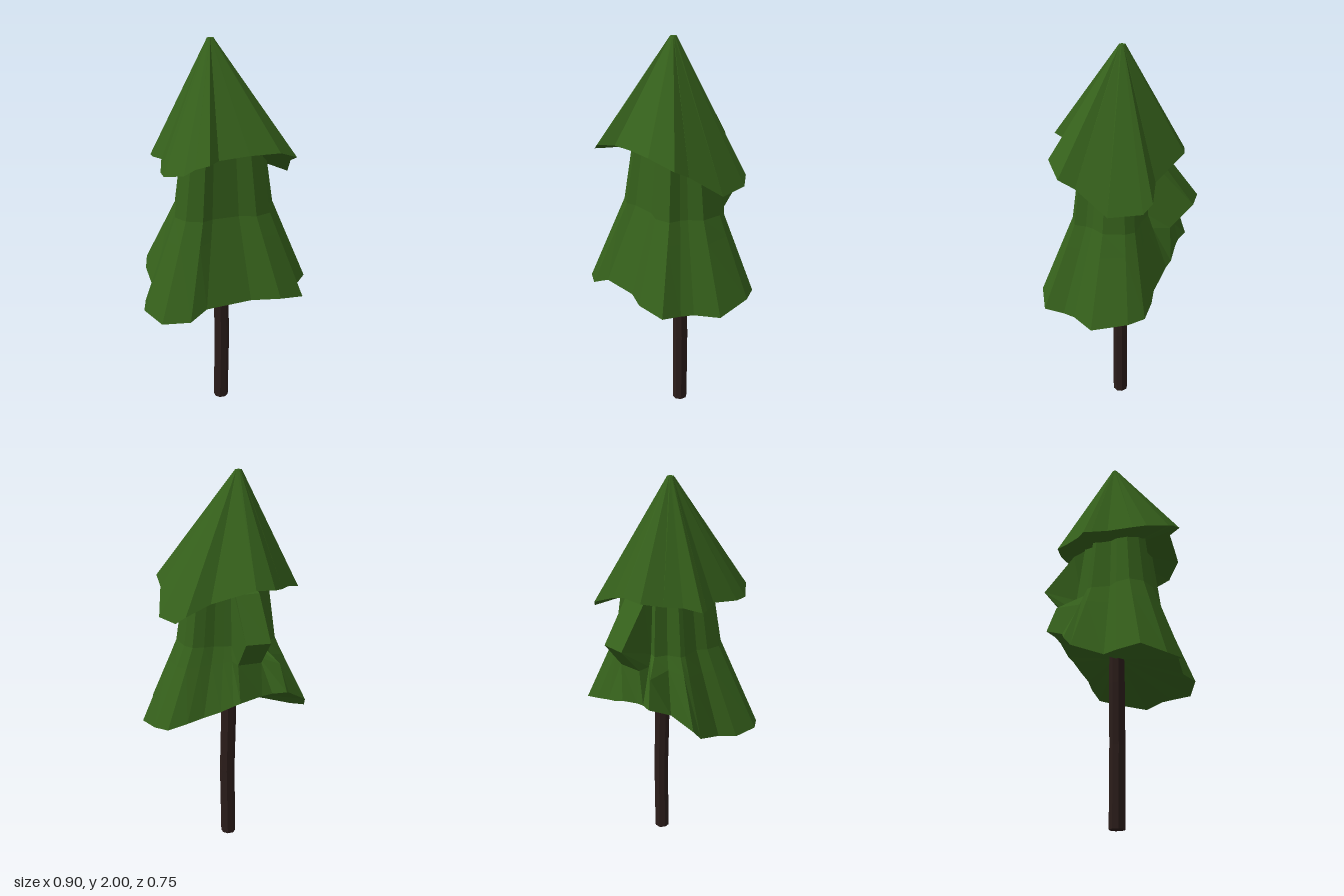
import * as THREE from 'three';

const leaf = new THREE.MeshStandardMaterial({ color: 0x35601b, flatShading: true });
const bark = new THREE.MeshStandardMaterial({ color: 0x2b1d1a, flatShading: true });

// Skins rings of [x, y, z] points, listed top to bottom, and closes both ends with fans.
function loft(name, rings, topCentre, bottomCentre, material) {
  const n = rings[0].length, last = (rings.length - 1) * n, count = rings.length * n;
  const points = [...rings.flat(), topCentre, bottomCentre];
  const index = [];
  for (let j = 0; j < n; j++) {
    const k = (j + 1) % n;
    for (let i = 0; i < rings.length - 1; i++) {
      const a = i * n + j, b = i * n + k;
      index.push(a, a + n, b + n, a, b + n, b);
    }
    index.push(count, j, k, count + 1, last + k, last + j);
  }
  const geometry = new THREE.BufferGeometry();
  geometry.setAttribute('position', new THREE.Float32BufferAttribute(points.flat(), 3));
  geometry.setIndex(index);
  geometry.computeVertexNormals();
  const mesh = new THREE.Mesh(geometry, material);
  mesh.name = name;
  return mesh;
}

const lerp = (a, b, t) => a.map((v, i) => v + (b[i] - v) * t);

// Ragged rims, running counterclockwise seen from above.
const upperRim = [
  [0.36, 1.31, 0], [0.32, 1.32, -0.16], [0.28, 1.36, -0.2], [0.155, 1.41, -0.195],
  [-0.03, 1.49, -0.31], [-0.13, 1.48, -0.3], [-0.2, 1.46, -0.22], [-0.26, 1.45, -0.15],
  [-0.335, 1.43, -0.1], [-0.33, 1.43, -0.06], [-0.305, 1.44, 0.02], [-0.34, 1.42, 0.16],
  [-0.34, 1.42, 0.23], [-0.27, 1.45, 0.33], [-0.22, 1.48, 0.345], [-0.16, 1.5, 0.37],
  [-0.1, 1.5, 0.31], [0.05, 1.51, 0.31], [0.2, 1.51, 0.31], [0.31, 1.46, 0.24], [0.31, 1.42, 0.16],
];
const lowerRim = [
  [0.45, 0.73, 0.07], [0.43, 0.77, -0.11], [0.38, 0.78, -0.185], [0.285, 0.81, -0.205],
  [0.2, 0.83, -0.205], [0.12, 0.86, -0.23], [0.06, 0.89, -0.25], [0.03, 0.91, -0.27],
  [-0.08, 0.94, -0.28], [-0.13, 0.95, -0.29], [-0.195, 0.96, -0.32], [-0.25, 0.91, -0.22],
  [-0.36, 0.84, -0.18], [-0.375, 0.79, -0.14], [-0.365, 0.73, 0.02], [-0.425, 0.72, 0.09],
  [-0.455, 0.73, 0.21], [-0.39, 0.7, 0.32], [-0.26, 0.72, 0.375], [-0.17, 0.76, 0.34],
  [0.06, 0.77, 0.33], [0.2, 0.78, 0.375], [0.335, 0.75, 0.33], [0.345, 0.74, 0.23], [0.37, 0.74, 0.17],
];

export function createModel() {
  const group = new THREE.Group();
  group.name = 'pineTree';

  // Upper tier: a ragged cone with a tiny flat tip
  const tip = upperRim.map(([x, , z]) => {
    const r = Math.hypot(x + 0.05, z);
    return [-0.05 + (x + 0.05) / r * 0.016, 2, z / r * 0.016];
  });
  group.add(loft('upperFoliage', [tip, upperRim], [-0.05, 2, 0], [-0.03, 1.48, 0], leaf));

  // Lower tier: a flared skirt with rings at the neck, waist, below the waist and rim
  const shrink = (f, y) => lowerRim.map(([x, , z]) => [x * f, y, z * f]);
  const neck = shrink(0.48, 1.5);
  const waist = shrink(0.59, 1.17);
  const below = waist.map((p, j) => lerp(p, lowerRim[j], 0.25));

  // Stub of foliage jutting out at the back
  [[7, 0.04, -0.37], [8, -0.08, -0.38]].forEach(([j, x, z]) => {
    neck[j] = [x, 1.45, -0.22];
    waist[j] = [x, 1.25, z];
    below[j] = [x, 1.11, -0.26];
  });
  below[10] = [-0.17, 1.1, -0.28];
  group.add(loft('lowerFoliage', [neck, waist, below, lowerRim], [0, 1.5, 0], [0, 0.86, 0], leaf));

  // Trunk: slightly bent eight-sided post
  const trunkRings = [[0, 0.95], [0, 0.72], [0.008, 0.4], [0.002, 0]].map(([cx, y]) =>
    Array.from({ length: 8 }, (_, j) => {
      const a = (j + 0.5) * Math.PI / 4;
      return [cx + 0.04 * Math.cos(a), y, -0.04 * Math.sin(a)];
    }));
  group.add(loft('trunk', trunkRings, [0, 0.95, 0], [0.002, 0, 0], bark));

  return group;
}
